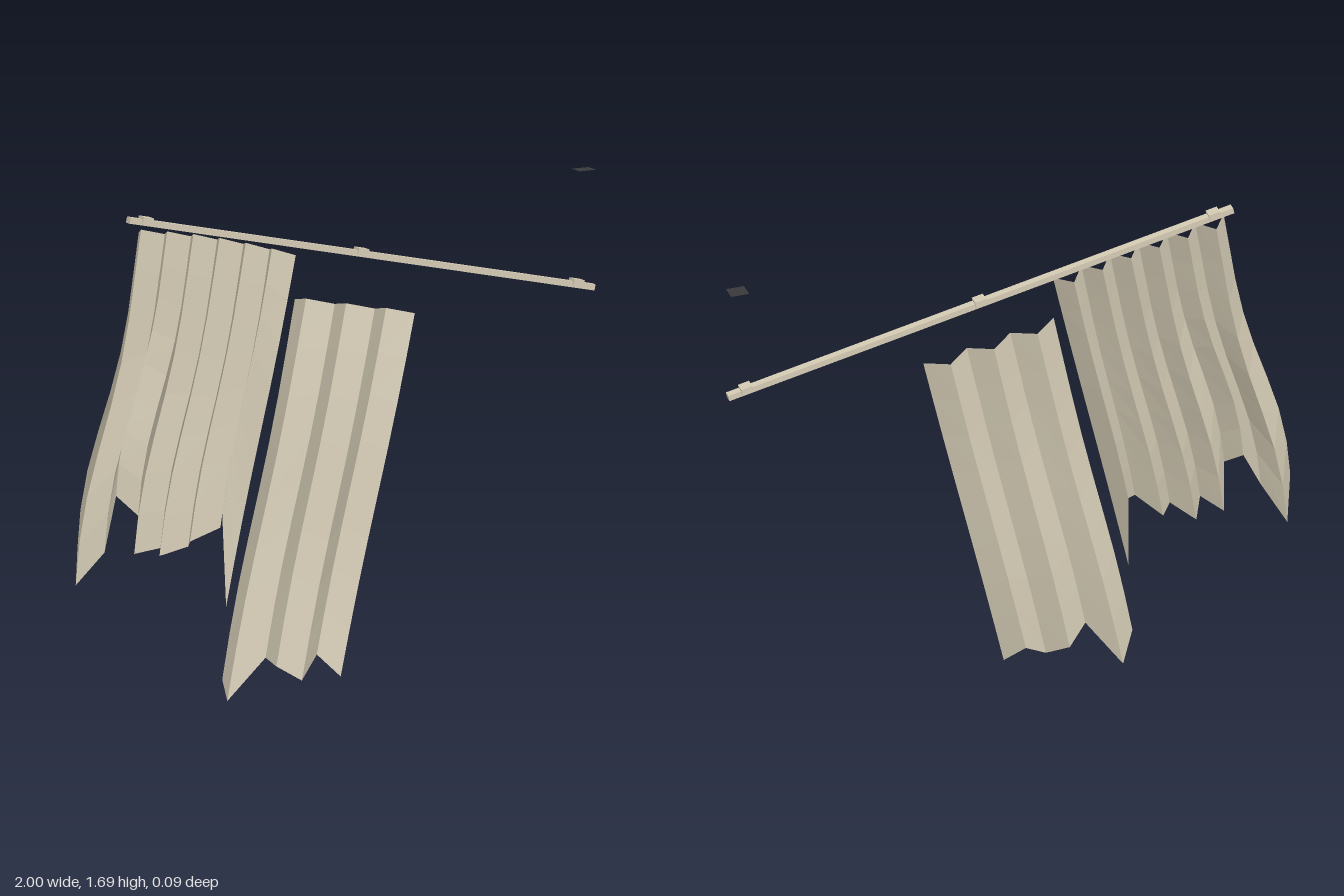
import * as THREE from 'three';

// Pleated sheet: columns zigzag in z, hung from the top points down to a ragged hem.
function pleatedSheet(top, hem, depth, bow, material) {
  const cols = hem.length, rows = 8;
  const pos = [], idx = [];
  for (let r = 0; r <= rows; r++) {
    const t = r / rows;
    for (let c = 0; c < cols; c++) {
      const u = c / (cols - 1);
      const [tx, ty] = top(u), [hx, hy] = hem[c];
      const sway = bow * (1 - u) * Math.sin(2 * Math.PI * t ** 1.3);
      const z = (c % 2 ? -depth : depth) + 0.006 * Math.sin(2 * Math.PI * t);
      pos.push(tx + (hx - tx) * t + sway, ty + (hy - ty) * t, z);
      if (r < rows && c < cols - 1) {
        const a = r * cols + c, b = a + cols;
        idx.push(a, b, a + 1, a + 1, b, b + 1);
      }
    }
  }
  const indexed = new THREE.BufferGeometry();
  indexed.setAttribute('position', new THREE.Float32BufferAttribute(pos, 3));
  indexed.setIndex(idx);
  const g = indexed.toNonIndexed();
  g.computeVertexNormals(); // separate faces keep the folds crisp
  return new THREE.Mesh(g, material);
}

export function createModel() {
  const model = new THREE.Group();
  const cloth = new THREE.MeshStandardMaterial({ color: 0xd9d0b9, side: THREE.DoubleSide });
  cloth.name = 'clothBeige';
  const railPaint = new THREE.MeshStandardMaterial({ color: 0xd6cdb5 });
  railPaint.name = 'railBeige';
  const dark = new THREE.MeshStandardMaterial({ color: 0x3a3a3d, side: THREE.DoubleSide });
  dark.name = 'darkGrey';

  const add = (mesh, name, parent = model) => {
    mesh.name = name;
    parent.add(mesh);
    return mesh;
  };

  // Sloping rail with three small brackets on top
  const a = new THREE.Vector2(-0.784, 1.681), b = new THREE.Vector2(0.997, 1.286);
  const length = a.distanceTo(b);
  const railGroup = new THREE.Group();
  railGroup.name = 'curtainRail';
  railGroup.position.set((a.x + b.x) / 2, (a.y + b.y) / 2, 0);
  railGroup.rotation.z = Math.atan2(b.y - a.y, b.x - a.x);
  model.add(railGroup);
  add(new THREE.Mesh(new THREE.BoxGeometry(length, 0.021, 0.026), railPaint), 'rail', railGroup);
  for (const x of [-0.845, 0, 0.845]) {
    const bracket = add(new THREE.Mesh(new THREE.BoxGeometry(0.04, 0.022, 0.036), railPaint), 'bracket', railGroup);
    bracket.position.set(x, 0.008, 0);
  }

  // Upper curtain, twelve narrow folds with a torn hem
  add(pleatedSheet(
    (u) => [-0.765 + 0.602 * u, 1.643 - 0.134 * u + 0.015 * Math.sin(Math.PI * u)],
    [[-1, 0.587], [-0.965, 0.447], [-0.896, 0.565], [-0.81, 0.737], [-0.767, 0.678],
      [-0.741, 0.533], [-0.682, 0.56], [-0.644, 0.517], [-0.575, 0.555], [-0.527, 0.555],
      [-0.452, 0.608], [-0.404, 0.646], [-0.43, 0.335]],
    0.037, 0.018, cloth), 'upperCurtain');

  // Fallen curtain, six wider folds
  add(pleatedSheet(
    (u) => [-0.163 + 0.46 * u, 1.358 - 0.091 * u],
    [[-0.441, 0.088], [-0.388, 0], [-0.275, 0.147], [-0.2, 0.1], [-0.136, 0.056],
      [-0.045, 0.126], [0.013, 0.056]],
    0.03, 0.004, cloth), 'fallenCurtain');

  // Small loose plate lying level above the low end of the rail
  const plate = add(new THREE.Mesh(new THREE.PlaneGeometry(0.064, 0.054), dark), 'loosePlate');
  plate.rotation.x = -Math.PI / 2;
  plate.position.set(0.962, 1.69, 0);

  return model;
}
